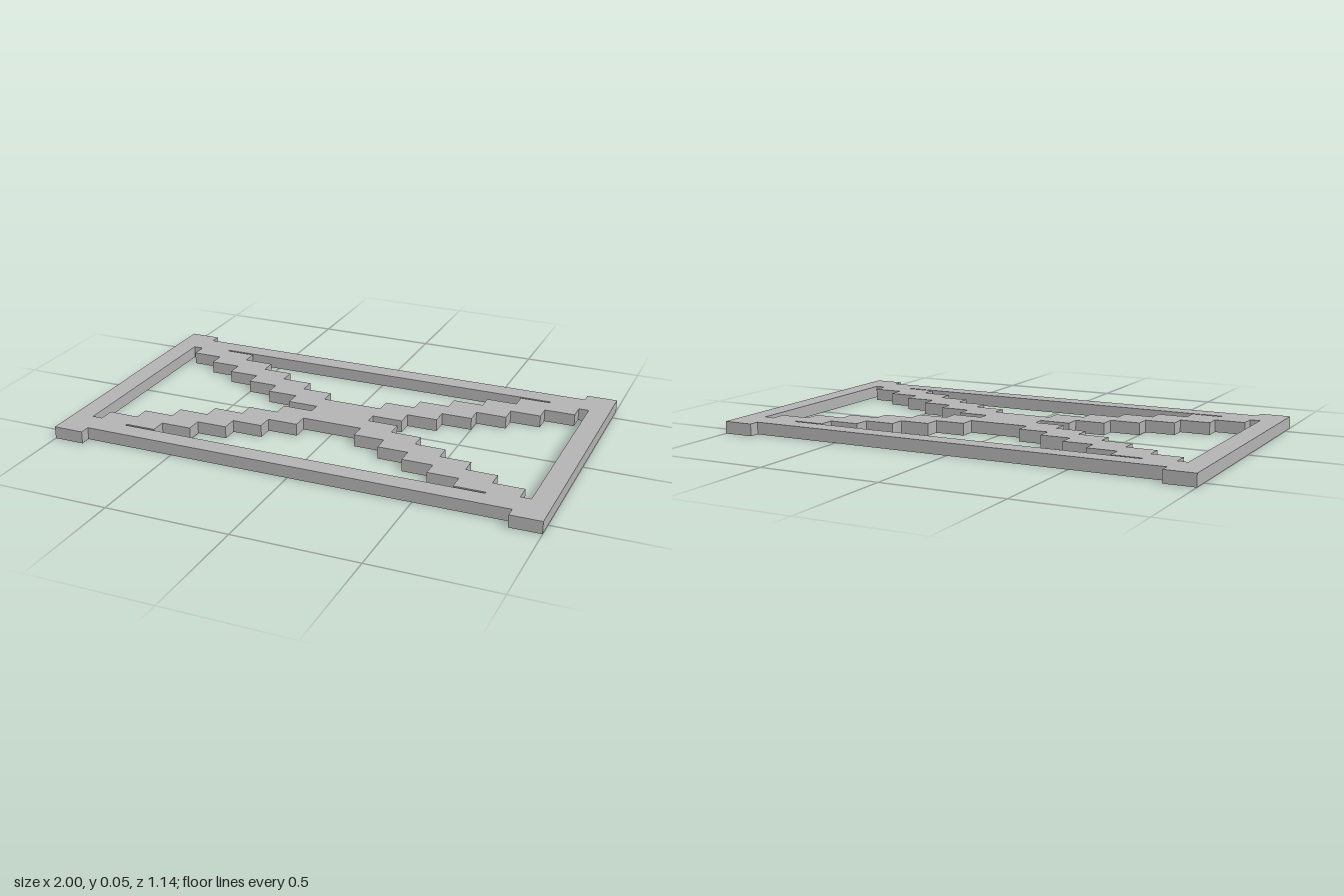
import * as THREE from 'three';

const HEIGHT = 0.05;
const STEP = 0.125;          // step length along x
const HALF_DEPTH = 0.571;
const BRACE = 0.147;         // brace width along z
const RAIL_OUT = 0.527;      // long rails, outer and inner edge
const RAIL_IN = 0.447;
const SIDE_IN = 0.916;       // inner edge of the short rails

// Outer and inner edge of a stepped brace in column k, measured from the middle
const outer = (k) => 0.105 + (k * (HALF_DEPTH - 0.105)) / 7;
const inner = (k) => outer(k) - BRACE;

// Closes a half outline by mirroring it
const mirrored = (pts, sx, sy) =>
  [...pts, ...pts.map(([x, y]) => [x * sx, y * sy]).reverse()];
const toVectors = (pts) => pts.map(([x, y]) => new THREE.Vector2(x, y));

export function createModel() {
  const group = new THREE.Group();
  group.name = 'crossBracedPanel';
  const gray = new THREE.MeshStandardMaterial({ color: 0xb4b4b4 });
  gray.name = 'gray';

  // Outline: rectangle whose corner blocks stand proud of the long rails
  const corner = [[1, HALF_DEPTH], [7 * STEP, HALF_DEPTH], [7 * STEP, RAIL_OUT]];
  const frame = new THREE.Shape(toVectors(mirrored(mirrored(corner, -1, 1), 1, -1)));

  // Stepped openings at the two short sides
  const sideHalf = [[SIDE_IN, inner(7)], [7 * STEP, inner(7)]];
  for (let k = 6; k >= 1; k--) {
    sideHalf.push([(k + 1) * STEP, inner(k)], [k * STEP, inner(k)]);
  }
  const side = mirrored(sideHalf, 1, -1);

  // Stepped openings along the two long rails, ending in thin slits
  const longHalf = [[6 * STEP, RAIL_IN]];
  for (let k = 5; k >= 1; k--) {
    longHalf.push([(k + 1) * STEP, outer(k)], [k * STEP, outer(k)]);
  }
  longHalf.push([STEP, outer(0)]);
  const long = mirrored(longHalf, -1, 1);

  for (const s of [1, -1]) {
    frame.holes.push(new THREE.Path(toVectors(side.map(([x, y]) => [x * s, y]))));
    frame.holes.push(new THREE.Path(toVectors(long.map(([x, y]) => [x, y * s]))));
  }

  // Lay the plate flat on the ground
  const geometry = new THREE.ExtrudeGeometry(frame, { depth: HEIGHT, bevelEnabled: false });
  geometry.rotateX(Math.PI / 2);
  geometry.translate(0, HEIGHT, 0);

  const mesh = new THREE.Mesh(geometry, gray);
  mesh.name = 'frameWithSteppedCrossBraces';
  group.add(mesh);
  return group;
}
